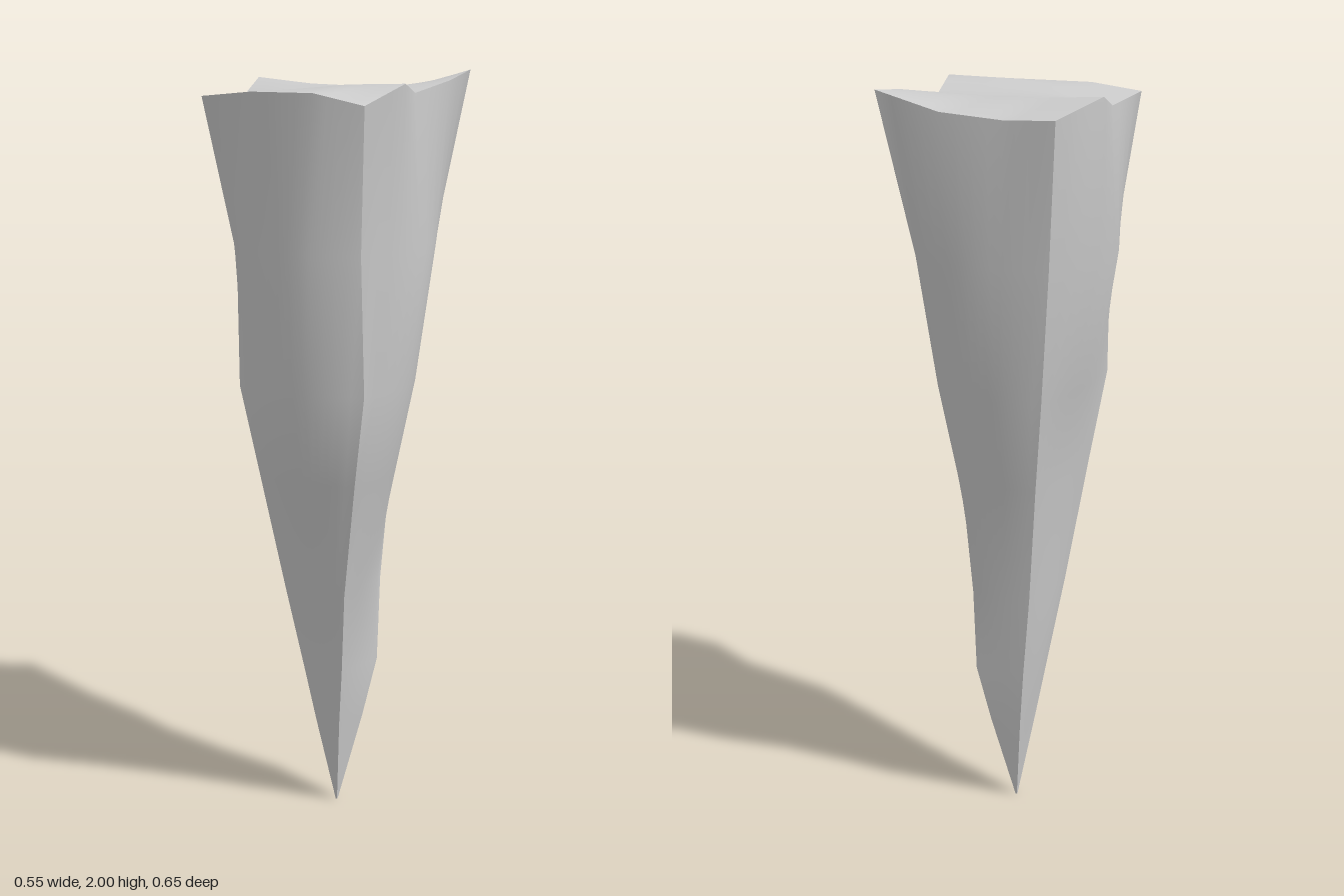
import * as THREE from 'three';

const N = 12; // samples across every face
const material = new THREE.MeshStandardMaterial({ color: 0xcccccc });

// Rim of the broken top, one polyline per side, running counter-clockwise seen from above
const FL = [-0.23, 1.95, 0.305], FR = [0.213, 1.935, 0.287];
const BR = [0.24, 2.0, -0.328], BL = [-0.22, 1.94, -0.275];
const rim = [
  [FL, [-0.08, 1.965, 0.325], [0.09, 1.965, 0.323], FR],
  [FR, [0.272, 1.985, 0.175], [0.235, 1.955, 0.03], [0.26, 1.98, -0.14], BR],
  [BR, [0.08, 1.95, -0.3], [-0.08, 1.935, -0.277], BL],
  [BL, [-0.273, 1.98, -0.087], [-0.225, 1.935, 0.1], FL],
];
const sides = ['frontFace', 'rightFace', 'backFace', 'leftFace'];

// Lower cross-sections: height, corners FL FR BR BL as [x, z], bulge of each side
const sections = [
  { y: 1.56, c: [[-0.18, 0.22], [0.185, 0.245], [0.168, -0.242], [-0.19, -0.24]], b: [0.055, 0.08, 0.025, 0.085] },
  { y: 1.2, c: [[-0.175, 0.22], [0.19, 0.235], [0.125, -0.19], [-0.15, -0.19]], b: [0.045, 0.065, 0.02, 0.02] },
  { y: 0.95, c: [[-0.14, 0.175], [0.14, 0.185], [0.098, -0.14], [-0.115, -0.143]], b: [0.02, 0.05, 0.005, 0.01] },
  { y: 0.63, c: [[-0.1, 0.11], [0.08, 0.12], [0.085, -0.1], [-0.08, -0.1]], b: [0, 0, 0.005, 0.01] },
  { y: 0.4, c: [[-0.065, 0.07], [0.052, 0.077], [0.085, -0.08], [-0.05, -0.07]], b: [0, 0, 0, 0.01] },
  { y: 0.24, c: [[-0.04, 0.045], [0.03, 0.047], [0.055, -0.05], [-0.03, -0.045]], b: [0, 0, 0, 0] },
  { y: 0, c: [[-0.002, 0.002], [0.002, 0.002], [0.002, -0.002], [-0.002, -0.002]], b: [0, 0, 0, 0] },
];

// Point on a polyline, t from 0 to 1
function along(points, t) {
  const f = t * (points.length - 1);
  const i = Math.min(Math.floor(f), points.length - 2);
  return new THREE.Vector3(...points[i]).lerp(new THREE.Vector3(...points[i + 1]), f - i);
}

// Point on one side of a cross-section, bowed outwards
function bowed(section, side, t) {
  const [ax, az] = section.c[side], [bx, bz] = section.c[(side + 1) % 4];
  const dx = bx - ax, dz = bz - az;
  const k = section.b[side] * 4 * t * (1 - t) / Math.hypot(dx, dz);
  return new THREE.Vector3(ax + dx * t - dz * k, section.y, az + dz * t + dx * k);
}

// Smooth surface through rows of points
function gridMesh(name, rows) {
  const w = rows[0].length, index = [];
  for (let j = 0; j < rows.length - 1; j++) {
    for (let i = 0; i < w - 1; i++) {
      const a = j * w + i, b = a + w;
      index.push(a, b, a + 1, b, b + 1, a + 1);
    }
  }
  const geometry = new THREE.BufferGeometry().setFromPoints(rows.flat());
  geometry.setIndex(index);
  geometry.computeVertexNormals();
  const mesh = new THREE.Mesh(geometry, material);
  mesh.name = name;
  return mesh;
}

const steps = Array.from({ length: N + 1 }, (_, i) => i / N);

export function createModel() {
  const group = new THREE.Group();
  group.name = 'stoneSpike';

  // Four tapering sides meeting at sharp corner edges
  sides.forEach((name, s) => {
    const rows = [steps.map((t) => along(rim[s], t))];
    for (const section of sections) rows.push(steps.map((t) => bowed(section, s, t)));
    group.add(gridMesh(name, rows));
  });

  // Uneven top, blended between its four rim edges
  const corner = (p, k) => new THREE.Vector3(...p).multiplyScalar(k);
  const top = steps.map((v) => steps.map((u) => {
    const p = new THREE.Vector3();
    p.addScaledVector(along(rim[2], 1 - u), 1 - v).addScaledVector(along(rim[0], u), v);
    p.addScaledVector(along(rim[3], v), 1 - u).addScaledVector(along(rim[1], 1 - v), u);
    p.sub(corner(BL, (1 - u) * (1 - v))).sub(corner(BR, u * (1 - v)));
    return p.sub(corner(FL, (1 - u) * v)).sub(corner(FR, u * v));
  }));
  group.add(gridMesh('topFace', top));

  return group;
}
